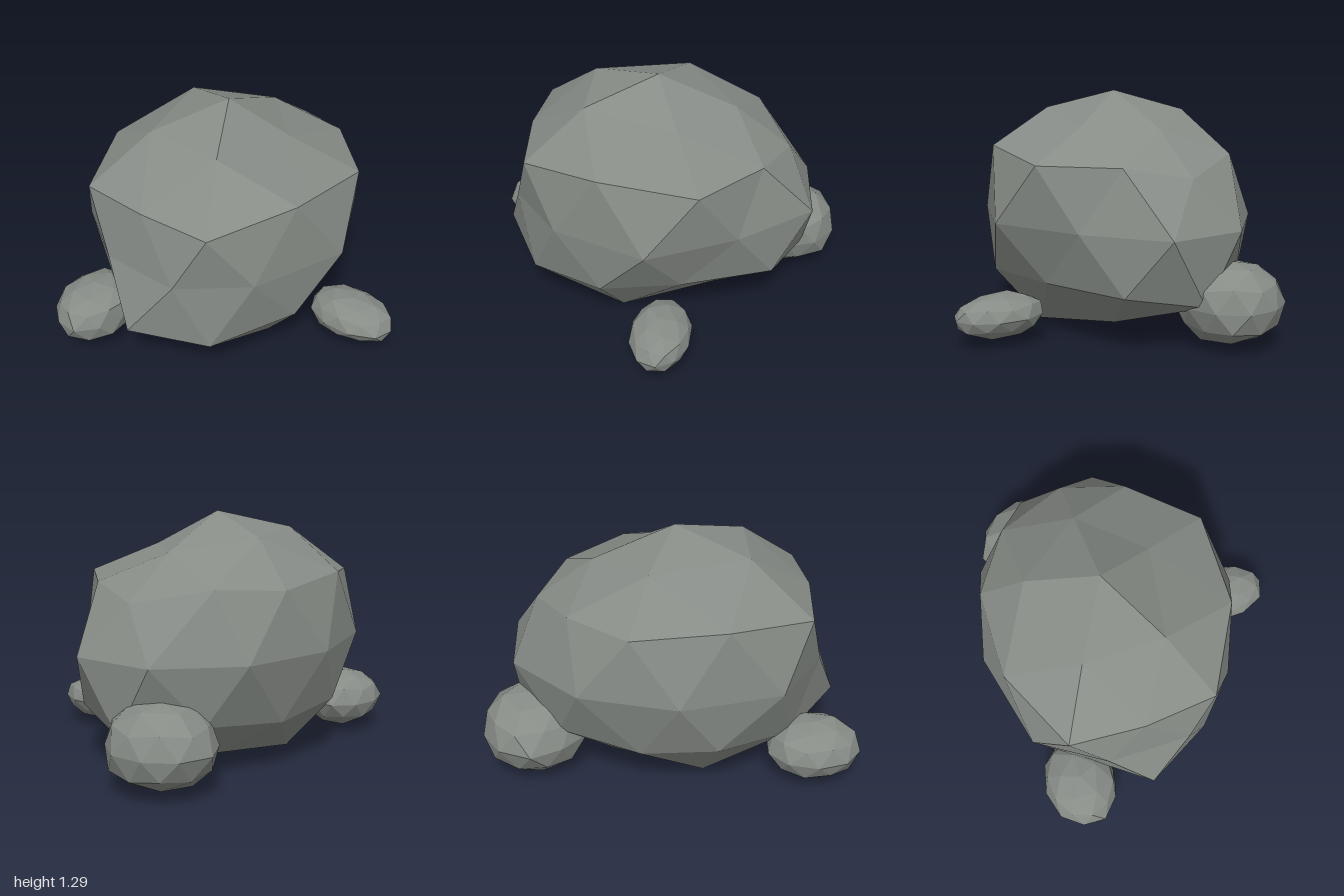
import * as THREE from 'three';

const material = new THREE.MeshStandardMaterial({ color: 0x878c87, flatShading: true, roughness: 1 });

// Joins seven rings of points (1, 5, 10, 10, 10, 5, 1) into a closed 80-sided rock.
function rock(name, [top, A, R, E, S, B, bottom]) {
  const pos = [];
  const at = (ring, i) => ring[(i + ring.length) % ring.length];
  const tri = (...corners) => corners.forEach((c) => pos.push(...c));
  for (let k = 0; k < 5; k++) {
    const a = at(A, k), a2 = at(A, k + 1), b = at(B, k), b2 = at(B, k + 1);
    // upper cap
    tri(top[0], a2, a);
    tri(a, at(R, 2 * k), at(R, 2 * k - 1));
    tri(a, at(R, 2 * k + 1), at(R, 2 * k));
    tri(a, a2, at(R, 2 * k + 1));
    // lower cap
    tri(bottom[0], b, b2);
    tri(b, at(S, 2 * k), at(S, 2 * k + 1));
    tri(b, at(S, 2 * k + 1), at(S, 2 * k + 2));
    tri(b, at(S, 2 * k + 2), b2);
  }
  // bands above and below the waist
  for (let j = 0; j < 10; j++) {
    tri(at(R, j), at(E, j), at(E, j - 1));
    tri(at(R, j), at(R, j + 1), at(E, j));
    tri(at(E, j), at(S, j + 1), at(S, j));
    tri(at(E, j - 1), at(E, j), at(S, j));
  }
  const geometry = new THREE.BufferGeometry();
  geometry.setAttribute('position', new THREE.Float32BufferAttribute(pos, 3));
  geometry.computeVertexNormals();
  const mesh = new THREE.Mesh(geometry, material);
  mesh.name = name;
  return mesh;
}

function seeded(seed) {
  return () => (seed = (seed * 16807) % 2147483647) / 2147483647;
}

// Small stone: a slightly uneven ellipsoid with a flattened underside.
function stone(name, [cx, cy, cz], [rx, ry, rz], seed) {
  const random = seeded(seed);
  const ring = (n, start, heights, radii) => Array.from({ length: n }, (_, i) => {
    const angle = start + (i * Math.PI * 2) / n;
    const s = 0.96 + 0.1 * random();
    const r = radii[i % radii.length] * s;
    const y = Math.max(-0.9, heights[i % heights.length] * s);
    return [cx + rx * r * Math.cos(angle), cy + ry * y, cz + rz * r * Math.sin(angle)];
  });
  const step = Math.PI / 5;
  return rock(name, [
    ring(1, 0, [1], [0]),
    ring(5, 0, [0.85], [0.53]),
    ring(10, 0, [0.45, 0.53], [0.89, 0.85]),
    ring(10, step / 2, [0], [1]),
    ring(10, 0, [-0.53, -0.45], [0.85, 0.89]),
    ring(5, step, [-0.85], [0.53]),
    ring(1, 0, [-1], [0]),
  ]);
}

export function createModel() {
  const group = new THREE.Group();
  group.name = 'rockCluster';

  // Boulder: rings run from the left side round by the front.
  const waist = [[0.83, 0.05], [0.44, 0.35], [-0.03, 0.57], [-0.53, 0.37], [-0.79, 0.05],
    [-0.78, -0.39], [-0.55, -0.74], [-0.03, -0.86], [0.47, -0.73], [0.81, -0.39]];
  group.add(rock('boulder', [
    [[-0.03, 1.29, -0.17]],
    [[0.39, 1.11, -0.18], [0.1, 1.11, 0.13], [-0.4, 1.18, 0.04], [-0.4, 1.19, -0.39], [0.11, 1.18, -0.53]],
    [[0.69, 0.89, -0.17], [0.55, 0.95, 0.16], [0.24, 0.95, 0.48], [-0.28, 1.0, 0.45], [-0.7, 0.93, 0.21],
      [-0.735, 0.95, -0.18], [-0.7, 0.94, -0.57], [-0.27, 0.99, -0.77], [0.21, 0.95, -0.76], [0.51, 0.97, -0.55]],
    waist.map(([x, z]) => [x, 0.62, z]),
    [[0.8, 0.25, -0.18], [0.63, 0.31, 0.2], [0.15, 0.31, 0.37], [-0.28, 0.31, 0.45], [-0.69, 0.24, 0.2],
      [-0.9, 0.3, -0.18], [-0.62, 0.25, -0.53], [-0.23, 0.32, -0.78], [0.16, 0.27, -0.72], [0.58, 0.31, -0.55]],
    [[0.32, 0.09, 0.05], [-0.19, 0.01, 0.21], [-0.54, 0, -0.18], [-0.17, 0.03, -0.54], [0.31, 0.08, -0.4]],
    [[-0.03, 0, -0.18]],
  ]));

  // Stones lying around its foot
  group.add(stone('frontStone', [0.06, 0.155, 0.6], [0.165, 0.115, 0.255], 11));
  group.add(stone('leftStone', [0.72, 0.235, -0.4], [0.28, 0.22, 0.285], 29));
  group.add(stone('rightStone', [-0.75, 0.185, -0.56], [0.25, 0.16, 0.2], 47));
  return group;
}
